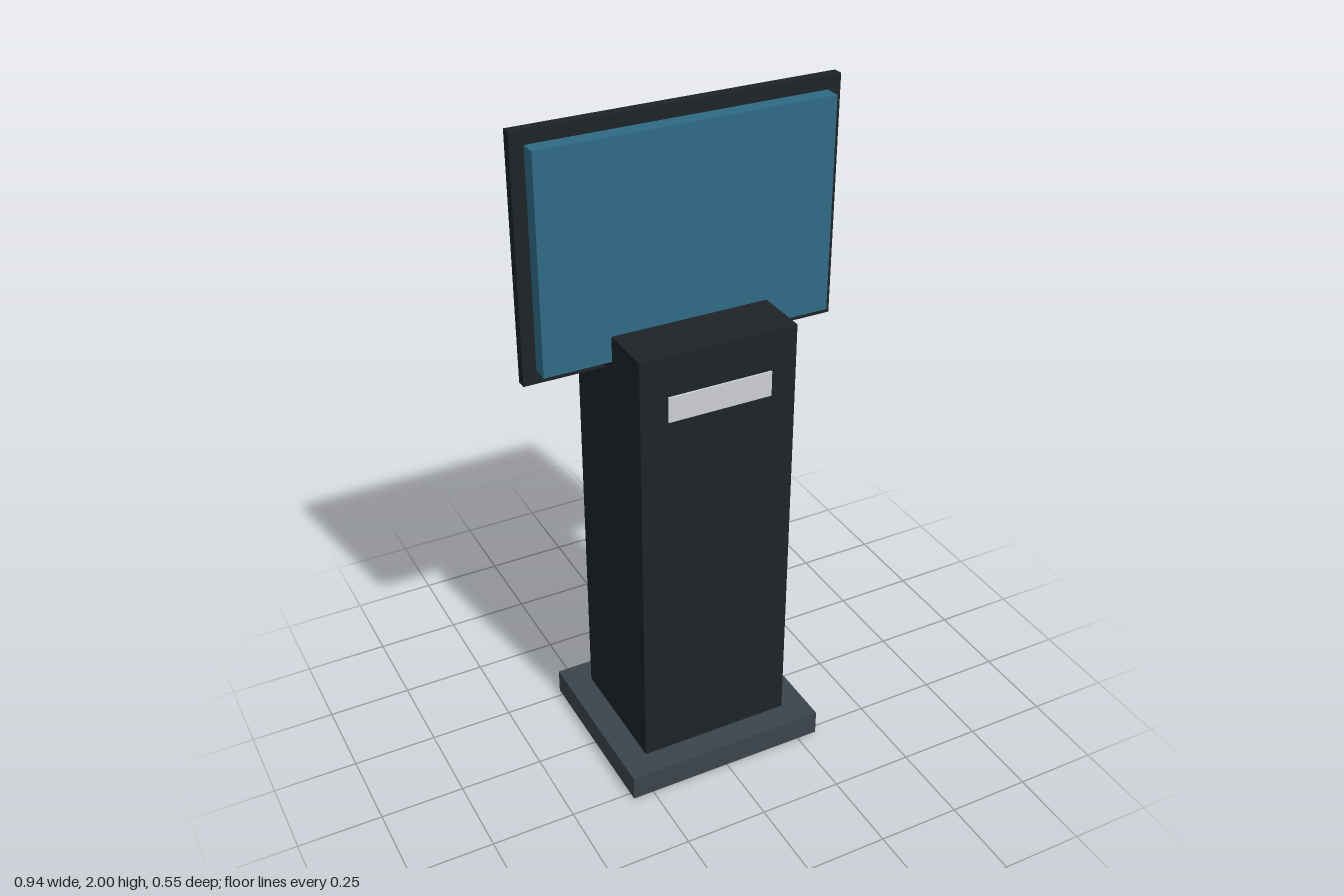
import * as THREE from 'three';

const DARK = 0x1e2326, SLATE = 0x3b444b, BLUE = 0x2f6a85, LIGHT = 0xcdd0d3;

// Box given by its width and its y and z ranges, centred on x = 0
function slab(name, color, width, [y0, y1], [z0, z1]) {
  const mesh = new THREE.Mesh(
    new THREE.BoxGeometry(width, y1 - y0, z1 - z0),
    new THREE.MeshStandardMaterial({ color })
  );
  mesh.name = name;
  mesh.position.set(0, (y0 + y1) / 2, (z0 + z1) / 2);
  return mesh;
}

export function createModel() {
  const kiosk = new THREE.Group();
  kiosk.name = 'kiosk';

  // Stand: floor plate and the column rising through it
  kiosk.add(slab('basePlate', SLATE, 0.627, [0, 0.078], [-0.274, 0.274]));
  kiosk.add(slab('column', DARK, 0.47, [0.001, 1.412], [-0.196, 0.196]));

  // Display: back panel with the raised screen in front of it
  const display = new THREE.Group();
  display.name = 'display';
  display.add(slab('displayBackPanel', DARK, 0.941, [1.298, 2], [-0.047, -0.017]));
  display.add(slab('screen', BLUE, 0.863, [1.337, 1.961], [-0.03, 0.031]));
  kiosk.add(display);

  // Thin light plate just ahead of the column
  kiosk.add(slab('frontPlate', LIGHT, 0.311, [1.219, 1.294], [0.2, 0.206]));

  return kiosk;
}
